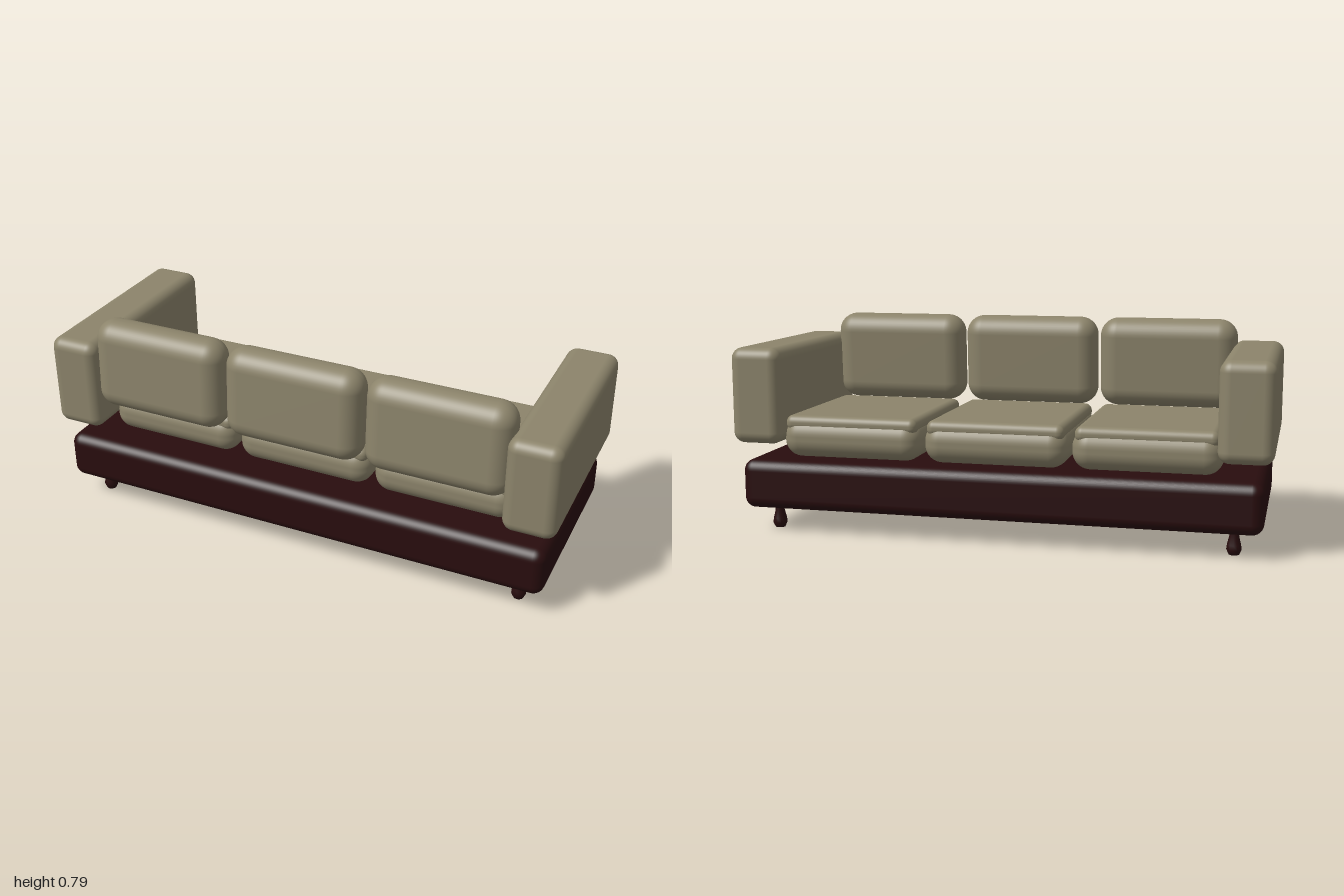
import * as THREE from 'three';
import { RoundedBoxGeometry } from 'three/addons/geometries/RoundedBoxGeometry.js';

export function createModel() {
  const sofa = new THREE.Group();
  sofa.name = 'sofa';
  const fabric = new THREE.MeshStandardMaterial({ color: 0x8c846b });
  fabric.name = 'beige fabric';
  const wood = new THREE.MeshStandardMaterial({ color: 0x290d0e });
  wood.name = 'dark wood';

  const add = (name, geometry, material, x, y, z) => {
    const mesh = new THREE.Mesh(geometry, material);
    mesh.name = name;
    mesh.position.set(x, y, z);
    sofa.add(mesh);
    return mesh;
  };
  const rounded = (w, h, d, r) => new RoundedBoxGeometry(w, h, d, 6, r);

  // Base platform
  add('base', rounded(1.94, 0.186, 0.76, 0.042), wood, 0, 0.182, 0);

  // Turned legs: flared top, narrow neck, bulbous foot
  const profile = [[0, 0], [0.019, 0], [0.027, 0.018], [0.025, 0.035], [0.017, 0.068], [0.021, 0.09], [0.021, 0.1]]
    .map(([r, y]) => new THREE.Vector2(r, y));
  const leg = new THREE.LatheGeometry(profile, 12);

  // Armrests and legs on both sides
  const arm = rounded(0.195, 0.36, 0.79, 0.042);
  for (const side of [-1, 1]) {
    add(side > 0 ? 'leftArm' : 'rightArm', arm, fabric, side * 0.9025, 0.52, 0);
    for (const z of [-0.273, 0.275]) add('leg', leg, wood, side * 0.865, 0, z);
  }

  // Three seats: soft cushion, inset top panel leaving a seam, and back cushion
  const seat = rounded(0.54, 0.148, 0.627, 0.066);
  const panel = rounded(0.515, 0.06, 0.6, 0.028);
  const back = rounded(0.54, 0.35, 0.15, 0.072);
  for (const i of [-1, 0, 1]) {
    const x = i * 0.552 - 0.002;
    add('seatCushion', seat, fabric, x, 0.359, -0.037);
    add('seatPanel', panel, fabric, x, 0.415, -0.037);
    add('backCushion', back, fabric, x, 0.611, 0.303).rotation.x = -0.05;
  }
  return sofa;
}
